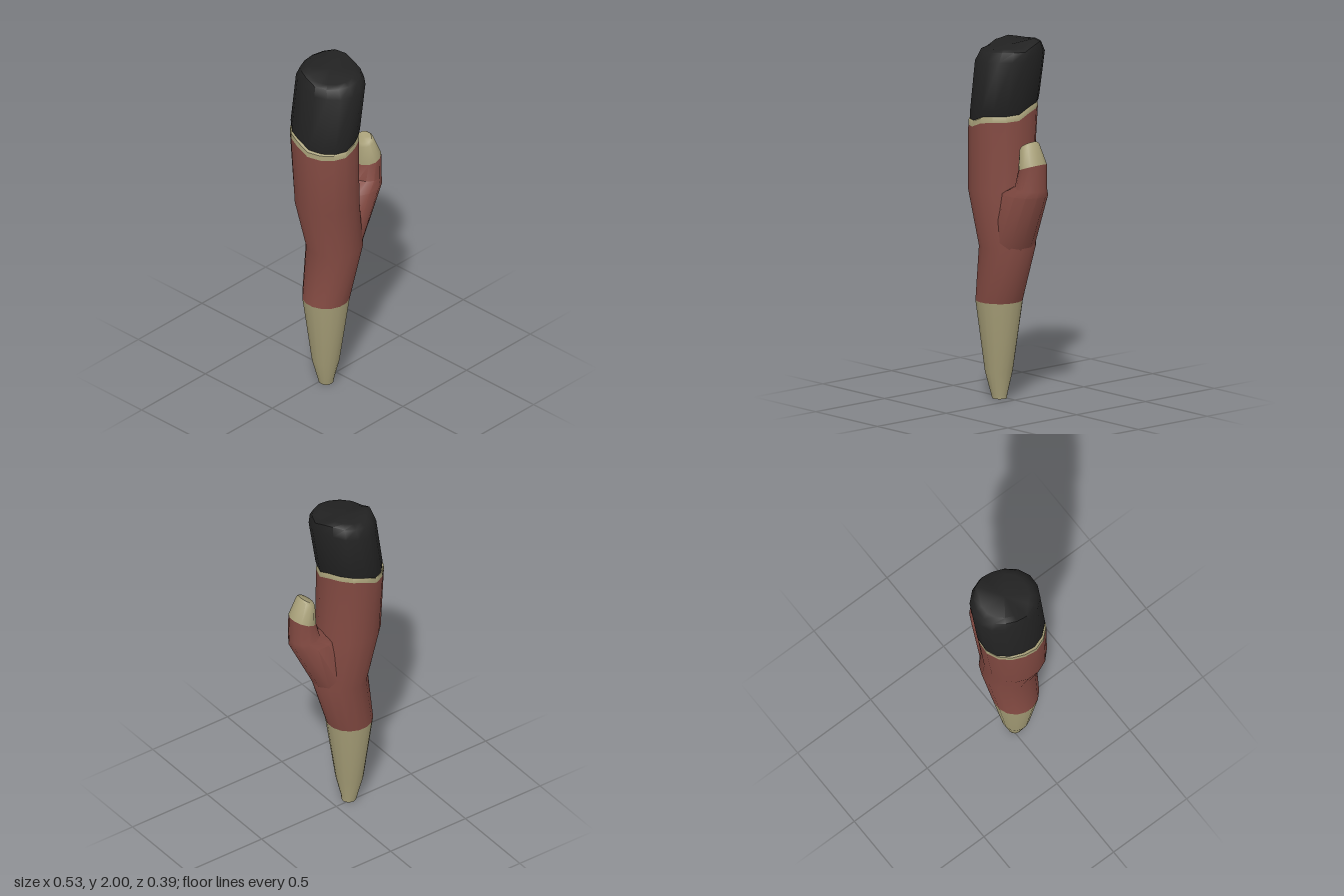
import * as THREE from 'three';
import { toCreasedNormals } from 'three/addons/utils/BufferGeometryUtils.js';

const BARK = 0x834a42, WOOD = 0xa79f78, CHAR = 0x222222;

// Each ring is [y, xMin, xMax, zMin, zMax]; y may be a function of (x, z)
// so that a rim can tilt or waver. Both ends are closed with a fan.
function loft(name, color, rings, sides = 16) {
  const pos = [], index = [];
  const k = Math.cos(Math.PI / sides);
  for (const [y, x0, x1, z0, z1] of rings) {
    for (let i = 0; i < sides; i++) {
      const a = ((i + 0.5) / sides) * Math.PI * 2;
      const x = (x0 + x1) / 2 + (Math.cos(a) / k) * (x1 - x0) / 2;
      const z = (z0 + z1) / 2 + (Math.sin(a) / k) * (z1 - z0) / 2;
      pos.push(x, typeof y === 'function' ? y(x, z) : y, z);
    }
  }
  for (let r = 0; r < rings.length - 1; r++) {
    for (let i = 0; i < sides; i++) {
      const a = r * sides + i, b = r * sides + (i + 1) % sides;
      index.push(a, a + sides, b, b, a + sides, b + sides);
    }
  }
  for (const end of [0, rings.length - 1]) {
    const [y, x0, x1, z0, z1] = rings[end];
    const cx = (x0 + x1) / 2, cz = (z0 + z1) / 2;
    const c = pos.length / 3, s = end * sides;
    pos.push(cx, typeof y === 'function' ? y(cx, cz) : y, cz);
    for (let i = 0; i < sides; i++) {
      const a = s + i, b = s + (i + 1) % sides;
      if (end) index.push(c, b, a); else index.push(c, a, b);
    }
  }
  const geo = new THREE.BufferGeometry();
  geo.setAttribute('position', new THREE.Float32BufferAttribute(pos, 3));
  geo.setIndex(index);
  const mesh = new THREE.Mesh(toCreasedNormals(geo, 0.8), new THREE.MeshStandardMaterial({ color }));
  mesh.name = name;
  return mesh;
}

const step = (v, lo, hi) => THREE.MathUtils.smoothstep(v, lo, hi);
// Wavering rim: rises towards +x and towards the back
const rim = (h) => (x, z) => h + 0.04 * step(x, -0.15, -0.02) + 0.05 * step(-z, -0.07, 0.08);
// Uneven burnt top: low ridges, highest at the back
const crown = (h) => (x, z) => h + 0.04 * step(-z, -0.03, 0.07) + 0.015 * step(x, -0.12, 0.06)
  - 0.02 * step(-z, 0.08, 0.19);
const slope = (h, m, x0) => (x) => h + m * (x - x0);

export function createModel() {
  const group = new THREE.Group();
  group.name = 'charredBranch';

  // Peeled, pointed lower end
  group.add(loft('peeledPoint', WOOD, [
    [0, -0.14, -0.06, -0.018, 0.062],
    [0.02, -0.145, -0.06, -0.022, 0.066],
    [0.15, -0.18, -0.03, -0.052, 0.098],
    [0.545, -0.23, 0.025, -0.105, 0.15],
  ]));

  // Bark-covered trunk
  group.add(loft('trunk', BARK, [
    [0.545, -0.23, 0.025, -0.105, 0.15],
    [0.86, -0.19, 0.12, -0.13, 0.175],
    [1.17, -0.267, 0.08, -0.155, 0.197],
    [rim(1.52), -0.267, 0.08, -0.192, 0.197],
  ]));

  // Bare wood ring between bark and burnt end
  group.add(loft('woodRing', WOOD, [
    [rim(1.52), -0.267, 0.08, -0.192, 0.197],
    [rim(1.548), -0.265, 0.078, -0.19, 0.195],
    [rim(1.565), -0.24, 0.06, -0.172, 0.175],
  ]));

  // Burnt end, leaning towards +x
  group.add(loft('burntEnd', CHAR, [
    [rim(1.55), -0.235, 0.06, -0.175, 0.175],
    [rim(1.553), -0.253, 0.078, -0.193, 0.193],
    [rim(1.585), -0.253, 0.085, -0.197, 0.197],
    [crown(1.885), -0.212, 0.13, -0.197, 0.197],
    [crown(1.935), -0.195, 0.118, -0.17, 0.165],
    [crown(1.948), -0.165, 0.085, -0.14, 0.135],
  ]));

  // Side branch growing out of the trunk
  group.add(loft('sideBranch', BARK, [
    [0.84, -0.13, 0.11, -0.1, 0.15],
    [0.87, -0.12, 0.122, -0.1, 0.153],
    [1.17, 0.0, 0.265, -0.065, 0.157],
    [slope(1.21, -0.1, 0.18), 0.1, 0.265, -0.04, 0.133],
    [slope(1.327, 0.36, 0.195), 0.127, 0.262, -0.035, 0.128],
  ], 12));

  // Bare tip of the side branch
  group.add(loft('branchTip', WOOD, [
    [slope(1.327, 0.36, 0.195), 0.127, 0.262, -0.035, 0.128],
    [slope(1.435, 0.6, 0.165), 0.128, 0.212, -0.012, 0.107],
    [slope(1.448, 0.6, 0.165), 0.135, 0.202, 0.0, 0.095],
  ], 12));

  return group;
}
